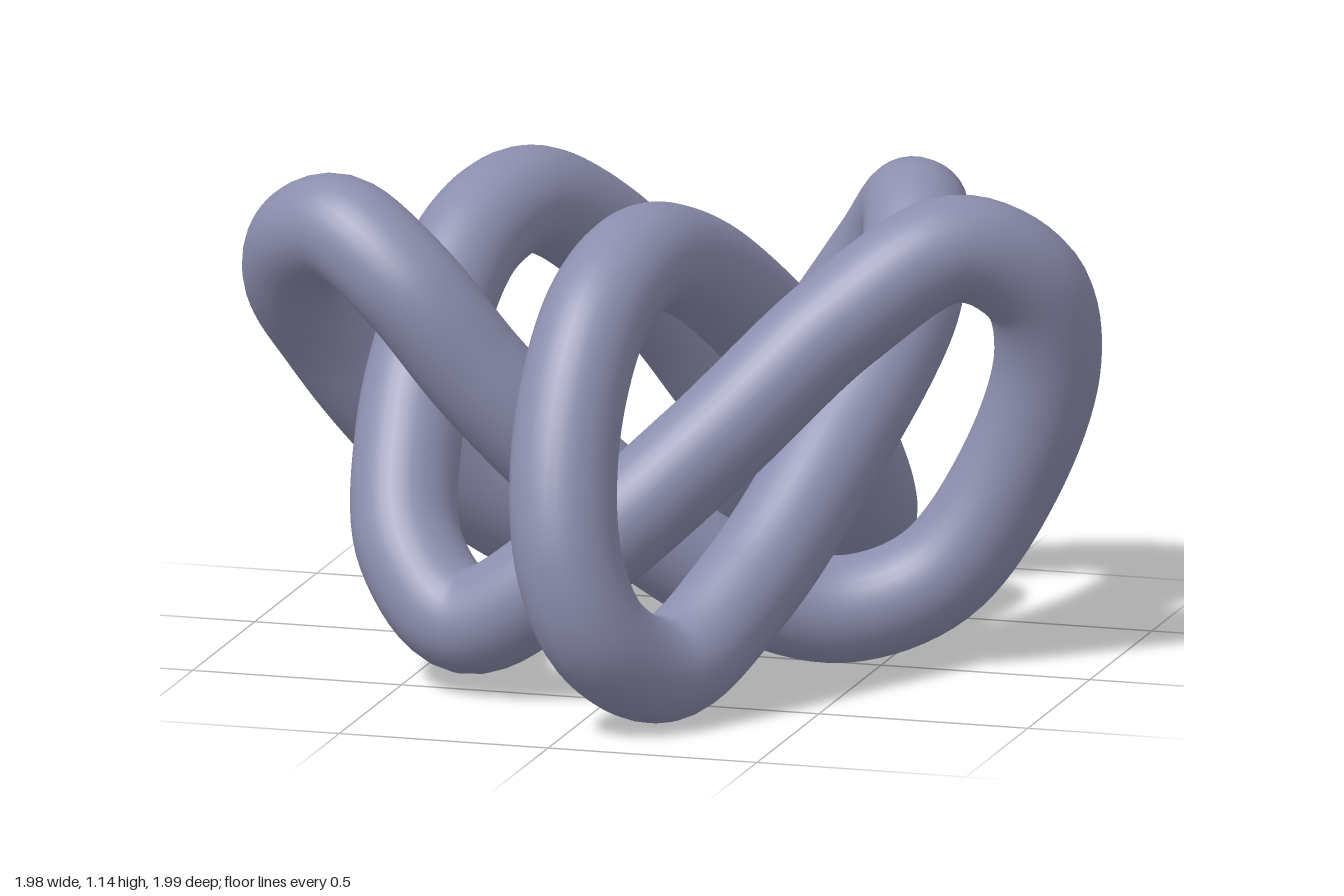
import * as THREE from 'three';

const RADIUS = 0.124;
const MID_HEIGHT = 0.57;
const TURN = THREE.MathUtils.degToRad(49);

// Half of the centre line as [across, along, height] about the half-turn axis
const HALF = [
  [0.61, 0.08, 0.405], [0.45, 0.29, 0.24], [0.175, 0.425, -0.02],
  [-0.131, 0.52, -0.3], [-0.395, 0.585, -0.445], [-0.585, 0.612, -0.345],
  [-0.652, 0.582, -0.16], [-0.605, 0.5, 0.12], [-0.46, 0.405, 0.37],
  [-0.275, 0.3, 0.448], [-0.085, 0.2, 0.395], [0.11, 0.115, 0.265],
  [0.31, 0.033, 0.08], [0.487, -0.055, -0.13], [0.622, -0.16, -0.34],
  [0.69, -0.33, -0.447], [0.7, -0.475, -0.395], [0.652, -0.577, -0.275],
  [0.54, -0.61, -0.13], [0.4, -0.605, 0.045], [0.18, -0.573, 0.27],
  [-0.06, -0.52, 0.398], [-0.26, -0.445, 0.35], [-0.43, -0.345, 0.18],
  [-0.565, -0.24, -0.04], [-0.648, -0.1, -0.27],
];

// Turn the axis into place; side = -1 gives the half-turned copy
function place([u, v, h], side) {
  const c = Math.cos(TURN);
  const s = Math.sin(TURN);
  return new THREE.Vector3(side * u * c + v * s, MID_HEIGHT + side * h, -side * u * s + v * c);
}

export function createModel() {
  const group = new THREE.Group();
  group.name = 'knot';

  const slate = new THREE.MeshStandardMaterial({ color: 0x8c8eae });
  slate.name = 'slate lavender';

  // Closed centre line: the half, then its half-turned copy
  const points = [1, -1].flatMap((side) => HALF.map((p) => place(p, side)));
  const path = new THREE.CatmullRomCurve3(points, true, 'centripetal');
  path.arcLengthDivisions = 1200;

  // One round tube along the path
  const tube = new THREE.Mesh(new THREE.TubeGeometry(path, 480, RADIUS, 32, true), slate);
  tube.name = 'knottedTube';
  group.add(tube);
  return group;
}
